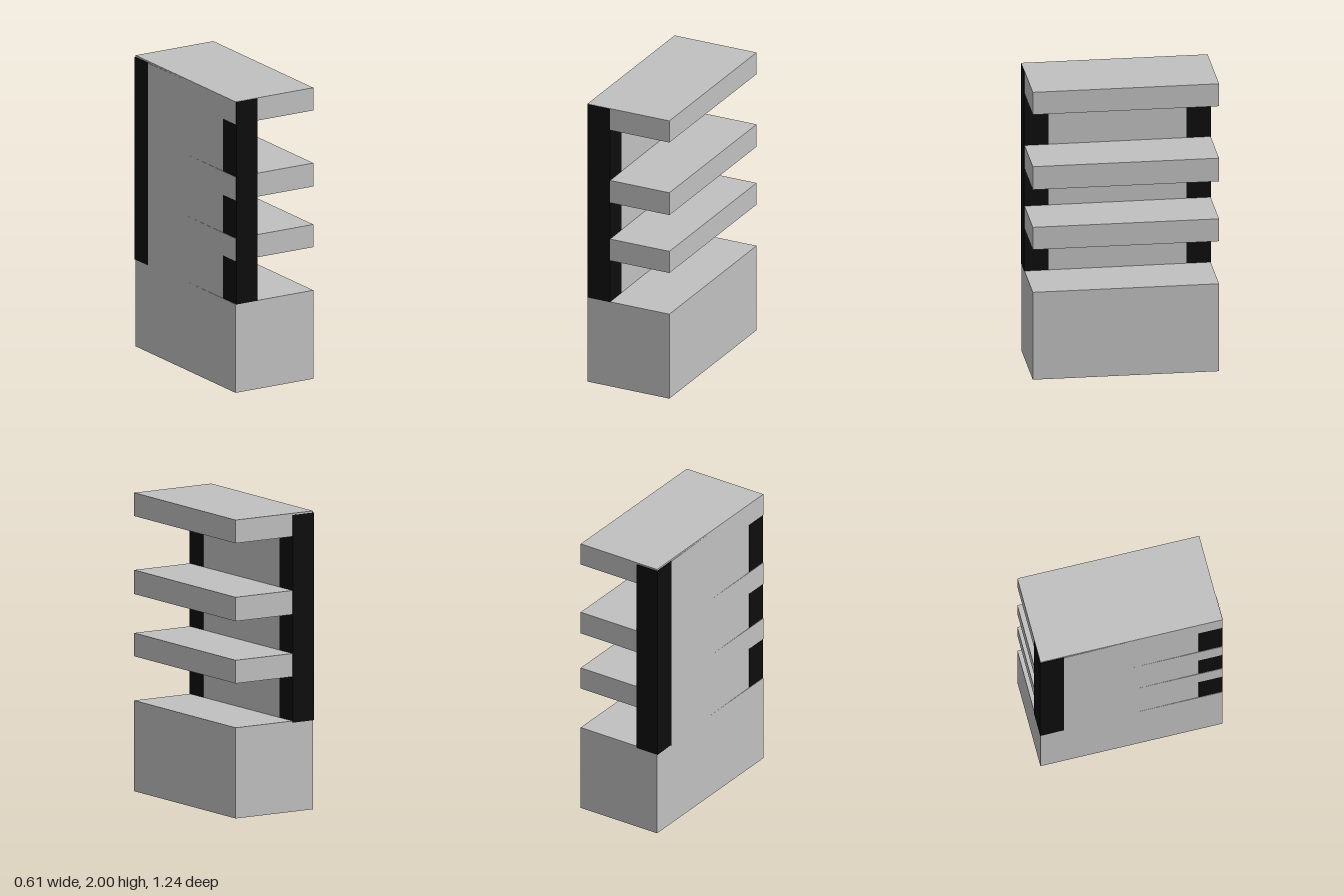
import * as THREE from 'three';

export function createModel() {
  const group = new THREE.Group();
  const grey = new THREE.MeshStandardMaterial({ name: 'light grey', color: 0xc0c0c0 });
  const black = new THREE.MeshStandardMaterial({ name: 'black', color: 0x0d0d0d });

  // The shelves and base lean very slightly from front to back
  const lean = new THREE.Matrix4().set(
    1, 0, -0.007, 0,
    0, 1, -0.008, 0,
    0, 0, 1, 0,
    0, 0, 0, 1);

  function box(name, material, [x0, x1], [y0, y1], [z0, z1], leaning = false) {
    const geometry = new THREE.BoxGeometry(x1 - x0, y1 - y0, z1 - z0);
    geometry.translate((x0 + x1) / 2, (y0 + y1) / 2, (z0 + z1) / 2);
    if (leaning) geometry.applyMatrix4(lean);
    const mesh = new THREE.Mesh(geometry, material);
    mesh.name = name;
    group.add(mesh);
  }

  // Base block and three shelves
  const slabs = [
    ['base', 0.005, 0.61],
    ['lowerShelf', 0.905, 1.06],
    ['middleShelf', 1.32, 1.48],
    ['topShelf', 1.84, 1.995],
  ];
  for (const [name, y0, y1] of slabs) {
    box(name, grey, [-0.304, 0.301], [y0, y1], [-0.615, 0.615], true);
  }

  // Back panel between the two upright posts
  box('backPanel', grey, [-0.304, -0.141], [0.6, 1.986], [-0.456, 0.456]);
  box('frontPost', black, [-0.305, -0.14], [0.604, 1.988], [0.456, 0.618]);
  box('rearPost', black, [-0.305, -0.14], [0.604, 1.988], [-0.618, -0.456]);

  return group;
}
